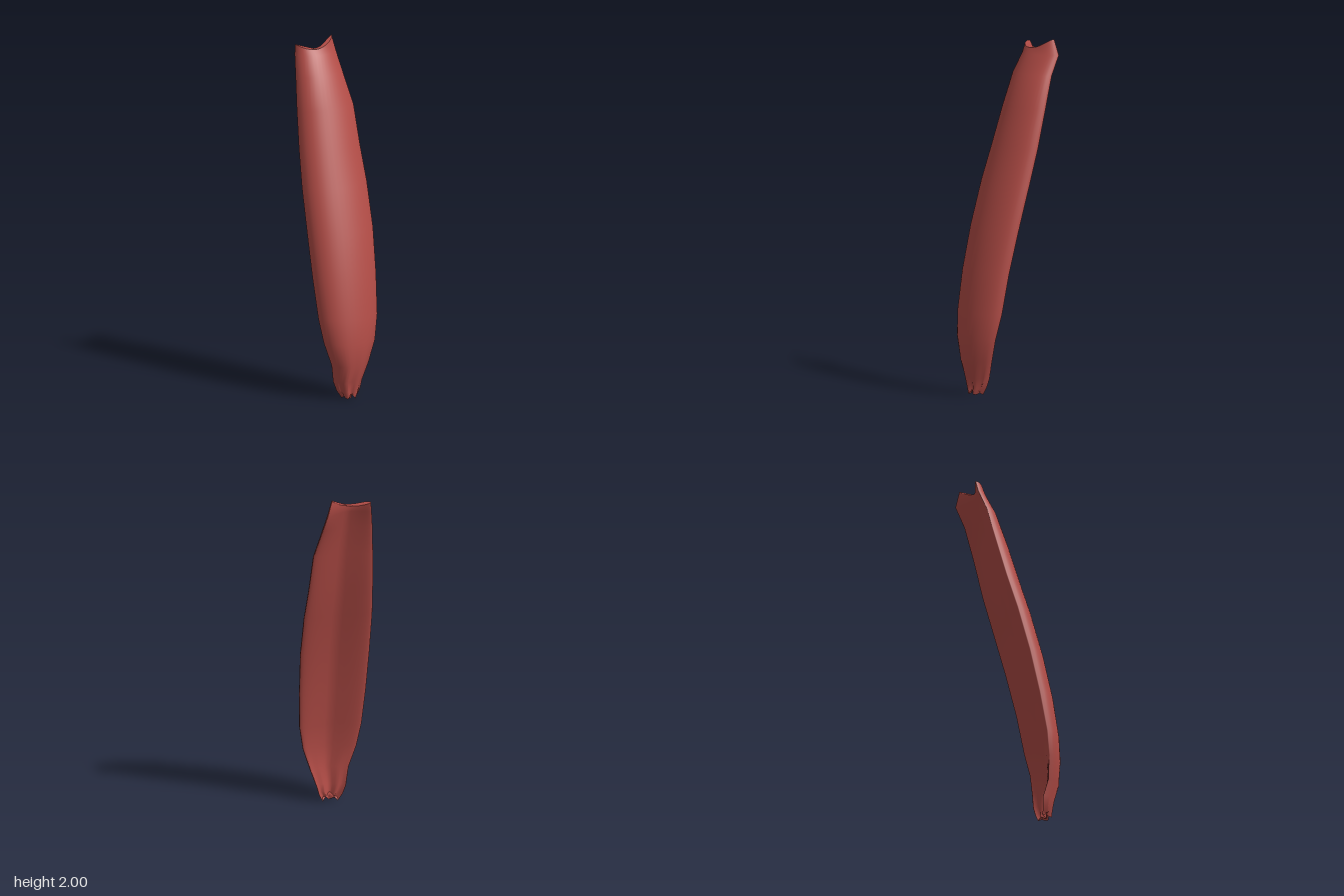
import * as THREE from 'three';

// Cross-sections from bottom to top:
// [y, left edge x, z, right edge x, z, front bulge, hollow of the back, ripple]
const SECTIONS = [
  [0.015, 0.105, 0.185, 0.175, 0.13, 0.04, 0.012, 0.012],
  [0.05, 0.08, 0.195, 0.185, 0.108, 0.055, 0.03, 0.008],
  [0.1, 0.06, 0.2, 0.19, 0.09, 0.075, 0.04, 0.005],
  [0.2, 0.06, 0.23, 0.22, 0.07, 0.09, 0.035, 0.002],
  [0.33, 0.02, 0.25, 0.253, 0.045, 0.1, 0.03, 0],
  [0.47, -0.013, 0.25, 0.255, 0.01, 0.11, 0.025, 0],
  [0.7, -0.057, 0.222, 0.235, -0.028, 0.118, 0.02, 0],
  [0.95, -0.103, 0.18, 0.2, -0.08, 0.12, 0.02, 0],
  [1.2, -0.152, 0.125, 0.145, -0.135, 0.12, 0.02, 0],
  [1.4, -0.187, 0.07, 0.09, -0.177, 0.118, 0.022, 0],
  [1.62, -0.218, 0.015, 0.04, -0.215, 0.108, 0.025, 0],
  [1.8, -0.24, -0.03, -0.035, -0.243, 0.095, 0.035, 0],
  [1.91, -0.26, -0.075, -0.088, -0.278, 0.085, 0.045, 0],
  [1.945, -0.264, -0.09, -0.1, -0.25, 0.07, 0.04, 0],
];
const SIDES = 40;

// Point on a section: rounded front, shallow hollow back between two lips
function sectionPoint([y, lx, lz, rx, rz, bulge, hollow, ripple], angle, isTop) {
  const t = Math.cos(angle), s = Math.sin(angle);
  const dx = rx - lx, dz = rz - lz, len = Math.hypot(dx, dz);
  let out = s > 0
    ? bulge * s * (1 - 0.15 * t)
    : hollow * s * s - 0.1 * len * 0.5 * Math.abs(Math.sin(2 * angle));
  out += ripple * Math.sin(7 * angle);
  const rise = isTop ? 0.04 * t * t + 0.015 * t : ripple * Math.sin(5 * angle);
  return [
    (lx + rx) / 2 + dx / 2 * t - dz / len * out,
    y + rise,
    (lz + rz) / 2 + dz / 2 * t + dx / len * out,
  ];
}

// Fan cap, sunk inward at its middle
function capGeometry(section, isTop, sink) {
  const [y, lx, lz, rx, rz, bulge, hollow] = section;
  const dx = rx - lx, dz = rz - lz, len = Math.hypot(dx, dz);
  const mid = (bulge + hollow) / 2;
  const pos = [(lx + rx) / 2 - dz / len * mid, y + sink, (lz + rz) / 2 + dx / len * mid];
  const index = [];
  for (let j = 0; j < SIDES; j++) {
    pos.push(...sectionPoint(section, j / SIDES * Math.PI * 2, isTop));
    const a = 1 + j, b = 1 + (j + 1) % SIDES;
    index.push(...(isTop ? [b, a, 0] : [a, b, 0]));
  }
  return makeGeometry(pos, index);
}

function makeGeometry(pos, index) {
  const g = new THREE.BufferGeometry();
  g.setAttribute('position', new THREE.Float32BufferAttribute(pos, 3));
  g.setIndex(index);
  g.computeVertexNormals();
  return g;
}

// Skin joining all sections
function bellyGeometry() {
  const pos = [], index = [];
  SECTIONS.forEach((section, i) => {
    const isTop = i === SECTIONS.length - 1;
    for (let j = 0; j < SIDES; j++) {
      pos.push(...sectionPoint(section, j / SIDES * Math.PI * 2, isTop));
      if (isTop) continue;
      const a = i * SIDES + j, b = i * SIDES + (j + 1) % SIDES;
      index.push(a, a + SIDES, b, b, a + SIDES, b + SIDES);
    }
  });
  return makeGeometry(pos, index);
}

export function createModel() {
  const model = new THREE.Group();
  model.name = 'muscle';
  const red = new THREE.MeshStandardMaterial({ color: 0xb44d47, side: THREE.DoubleSide });
  red.name = 'muscle red';
  const add = (name, geometry) => {
    const mesh = new THREE.Mesh(geometry, red);
    mesh.name = name;
    model.add(mesh);
  };
  add('muscleBelly', bellyGeometry());
  add('upperEnd', capGeometry(SECTIONS[SECTIONS.length - 1], true, -0.005));
  add('lowerEnd', capGeometry(SECTIONS[0], false, 0.03));
  return model;
}
